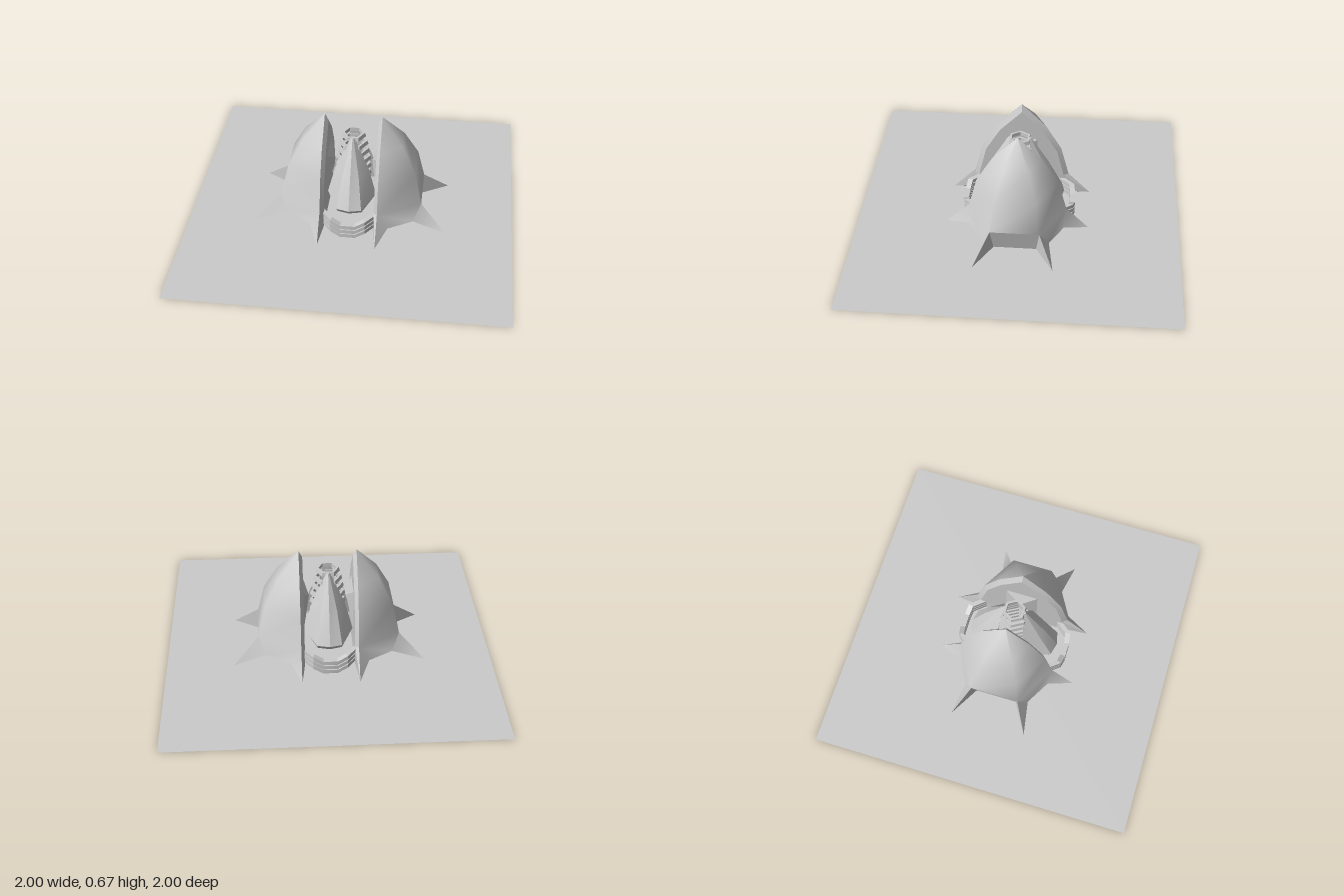
import * as THREE from 'three';
import { toCreasedNormals } from 'three/addons/utils/BufferGeometryUtils.js';

const grey = new THREE.MeshStandardMaterial({ color: 0xcccccc });
const greyDouble = new THREE.MeshStandardMaterial({ color: 0xcccccc, side: THREE.DoubleSide });

// Mesh from planar polygons (arrays of [x, y, z]), each split into a fan
function polyMesh(name, polys, crease = 0.3, material = grey) {
  const pos = [];
  for (const p of polys) {
    for (let i = 1; i < p.length - 1; i++) pos.push(...p[0], ...p[i], ...p[i + 1]);
  }
  const geo = new THREE.BufferGeometry();
  geo.setAttribute('position', new THREE.Float32BufferAttribute(pos, 3));
  geo.computeVertexNormals();
  const mesh = new THREE.Mesh(toCreasedNormals(geo, crease), material);
  mesh.name = name;
  return mesh;
}

// Quads between rows (bottom to top) of points running left to right
function grid(rows) {
  const polys = [];
  for (let j = 0; j < rows.length - 1; j++) {
    for (let i = 0; i < rows[j].length - 1; i++) {
      polys.push([rows[j][i], rows[j][i + 1], rows[j + 1][i + 1], rows[j + 1][i]]);
    }
  }
  return polys;
}

const mirrorZ = (polys) => polys.map((p) => p.map(([x, y, z]) => [x, y, -z]).reverse());
const bothSides = (polys) => [...polys, ...mirrorZ(polys)];

// Half of a hexagonal dome, cut flat at x = 0 and bulging toward +x
function makeShell() {
  const shell = new THREE.Group();
  const c = Math.cos(Math.PI / 6);
  const levels = [[0.3, 0.145], [0.25, 0.34], [0.15, 0.51]];
  const rows = levels.map(([r, y]) => [[0, y, r], [c * r, y, r / 2], [c * r, y, -r / 2], [0, y, -r]]);
  const apex = [0, 0.665, 0];
  const dome = grid(rows);
  for (let i = 0; i < 3; i++) dome.push([rows[2][i], rows[2][i + 1], apex]);

  // Flared skirt ending in pointed feet
  const [A, B] = rows[0];
  const tipA = [0, 0, 0.44], tipB = [0.415, 0, 0.24];
  const v1 = [0.065, 0.045, 0.292], v2 = [0.215, 0.045, 0.206];
  const i1 = [0, 0, 0.26], i2 = [0.225, 0, 0.13];
  const skirt = [[A, tipA, v1], [A, v1, v2], [A, v2, B], [B, v2, tipB]];
  shell.add(polyMesh('shellDome', [...dome, ...bothSides(skirt)], 1.1));

  // Undersides of the feet and the recessed wall between them
  const under = [[tipA, i1, v1], [v1, i1, i2, v2], [v2, i2, tipB], [B, tipB, i2]];
  const wall = [B, i2, [i2[0], 0, -i2[2]], rows[0][2]];
  shell.add(polyMesh('shellUnderside', [...bothSides(under), wall]));

  // Bevelled rim and raised panel on the cut face
  const arch = (half, x) => [
    ...half.map(([z, y]) => [x, y, z]),
    ...half.slice(0, -1).reverse().map(([z, y]) => [x, y, -z]),
  ];
  const outer = arch([[0.44, 0], [0.3, 0.145], [0.25, 0.34], [0.15, 0.51], [0, 0.665]], 0);
  const inner = arch([[0.28, 0.02], [0.27, 0.145], [0.225, 0.33], [0.135, 0.48], [0, 0.62]], -0.022);
  const rim = outer.map((p, i) => {
    const k = (i + 1) % outer.length;
    return [p, outer[k], inner[k], inner[i]];
  });
  shell.add(polyMesh('shellInnerFace', [...rim, inner]));

  // Wedge that points at the core
  const base = [[-0.022, 0.42, 0.1], [-0.022, 0.42, -0.1], [-0.022, 0.15, -0.1], [-0.022, 0.15, 0.1]];
  const wedge = base.map((p, i) => [p, base[(i + 1) % 4], [-0.06, 0.34, 0]]);
  shell.add(polyMesh('shellWedge', wedge));
  return shell;
}

// Tapering ridged petal leaning against the core
function makePetal() {
  const row = (w, endY, endZ, m, midY, midZ, ridgeZ) => [
    [-w, endY, endZ], [-m, midY, midZ], [0, midY, ridgeZ], [m, midY, midZ], [w, endY, endZ],
  ];
  const rows = [
    row(0.14, 0.14, 0.095, 0.075, 0.115, 0.24, 0.26),
    row(0.15, 0.155, 0.1, 0.075, 0.145, 0.262, 0.28),
    row(0.105, 0.33, 0.085, 0.05, 0.33, 0.175, 0.195),
    row(0.012, 0.54, 0.06, 0.006, 0.54, 0.068, 0.072),
  ];
  const back = [...rows.map((r) => r[0]), ...rows.map((r) => r[4]).reverse()];
  const polys = [...grid(rows), [...rows[0]].reverse(), rows[3], back];
  return polyMesh('corePetal', polys, 0.3, greyDouble);
}

// Rectangular bar swept along the folded cradle path
function makeBand(drop) {
  const half = [[0.17, 0.11, 0.26], [0.105, 0.105, 0.34], [0.045, 0.075, 0.35]];
  const path = [...half.map(([x, y, z]) => [-x, y, z]), ...[...half].reverse()];
  const loops = path.map(([x, y, z]) => {
    const lo = y - drop - 0.012, hi = y - drop + 0.013, s = 0.91;
    return [[x, lo, z], [x, hi, z], [x * s, hi, z * s], [x * s, lo, z * s]];
  });
  const polys = [[...loops[0]].reverse(), loops[loops.length - 1]];
  for (let i = 0; i < loops.length - 1; i++) {
    for (let k = 0; k < 4; k++) {
      const n = (k + 1) % 4;
      polys.push([loops[i][k], loops[i + 1][k], loops[i + 1][n], loops[i][n]]);
    }
  }
  return polyMesh('cradleBand', polys);
}

// Hexagonal collar with a corner on the x axis
function makeRing(r, y) {
  const profile = [[r - 0.02, -0.012], [r, -0.012], [r - 0.006, 0.012], [r - 0.02, 0.012], [r - 0.02, -0.012]];
  const lathe = new THREE.LatheGeometry(profile.map((p) => new THREE.Vector2(...p)), 6, Math.PI / 2);
  const ring = new THREE.Mesh(toCreasedNormals(lathe, 0.3), greyDouble);
  ring.position.y = y;
  ring.name = 'coreRing';
  return ring;
}

export function createModel() {
  const model = new THREE.Group();
  model.name = 'splitDome';

  // Square ground plate
  const plate = new THREE.Mesh(new THREE.PlaneGeometry(2, 2).rotateX(-Math.PI / 2), greyDouble);
  plate.name = 'basePlate';
  model.add(plate);

  // Paired parts: the second copy is turned half a circle
  ['left', 'right'].forEach((side, i) => {
    const shell = makeShell();
    shell.name = side + 'Shell';
    shell.position.x = i ? -0.175 : 0.175;
    shell.rotation.y = i * Math.PI;
    model.add(shell);

    const inside = new THREE.Group();
    inside.name = i ? 'backCore' : 'frontCore';
    inside.rotation.y = i * Math.PI;
    inside.add(makePetal());
    for (const drop of [0, 0.037, 0.074]) inside.add(makeBand(drop * 0.85));
    model.add(inside);
  });

  // Stack of collars around the axis
  const radii = [0.075, 0.09, 0.1, 0.11, 0.112, 0.112, 0.112];
  radii.forEach((r, i) => model.add(makeRing(r, 0.53 - i * 0.055)));
  return model;
}
